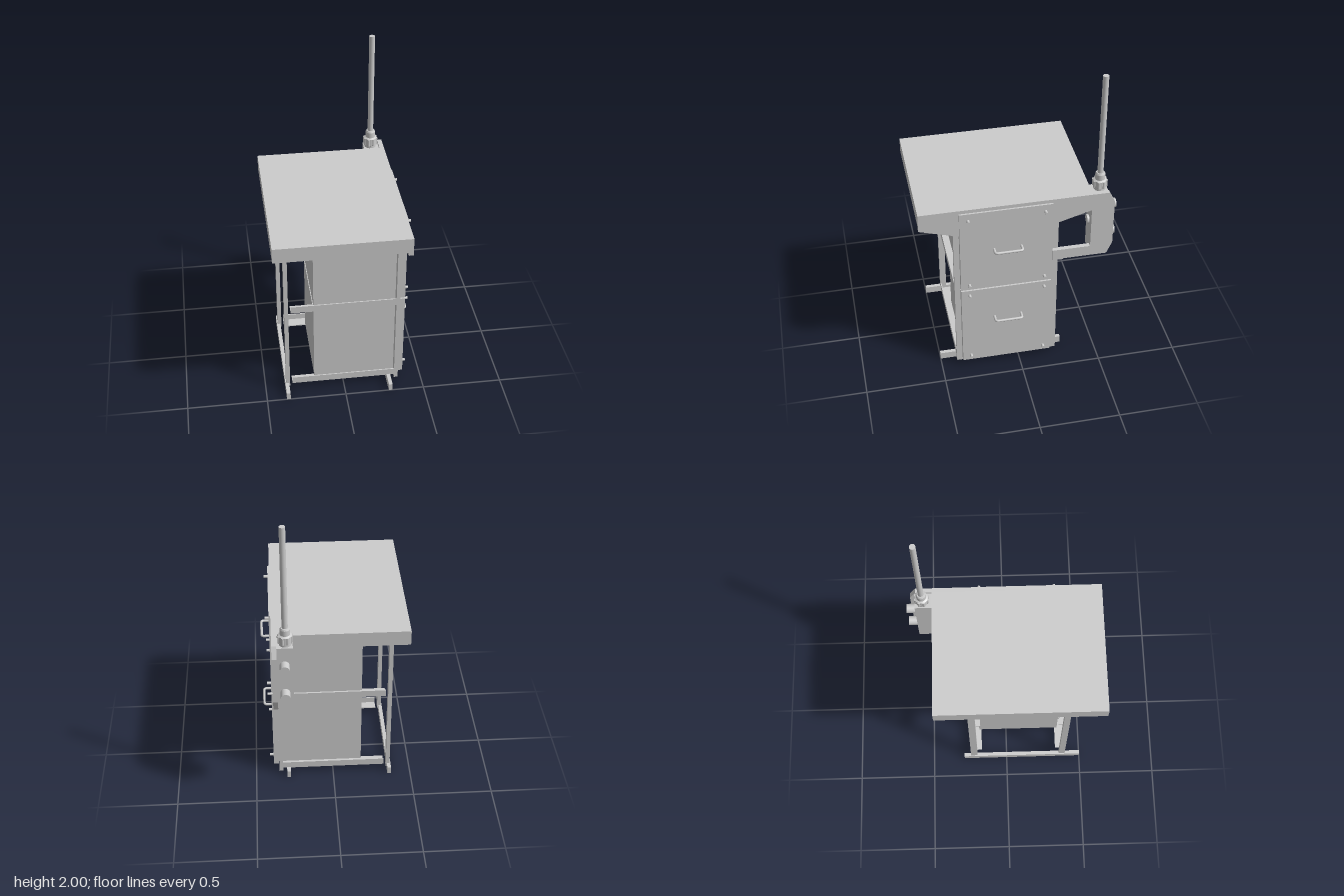
import * as THREE from 'three';

export function createModel() {
  const model = new THREE.Group();
  const mat = new THREE.MeshStandardMaterial({ color: 0xcccccc });

  const add = (name, geo, x = 0, y = 0, z = 0) => {
    const m = new THREE.Mesh(geo, mat);
    m.name = name;
    m.position.set(x, y, z);
    model.add(m);
    return m;
  };
  // box given by its limits on each axis
  const box = (name, x0, x1, y0, y1, z0, z1) =>
    add(name, new THREE.BoxGeometry(x1 - x0, y1 - y0, z1 - z0),
      (x0 + x1) / 2, (y0 + y1) / 2, (z0 + z1) / 2);
  const cylX = (name, r, x0, x1, y, z) =>
    add(name, new THREE.CylinderGeometry(r, r, x1 - x0, 20).rotateZ(Math.PI / 2), (x0 + x1) / 2, y, z);
  const cylZ = (name, r, z0, z1, x, y) =>
    add(name, new THREE.CylinderGeometry(r, r, z1 - z0, 28).rotateX(Math.PI / 2), x, y, (z0 + z1) / 2);

  // Worktop: an upside-down tray with thin rims
  box('worktop', -0.445, 0.346, 1.228, 1.24, -0.443, 0.605);
  box('worktopEndRim', -0.445, -0.433, 1.145, 1.23, -0.443, 0.605);
  box('worktopFrontRim', -0.434, 0.346, 1.145, 1.23, 0.593, 0.605);
  box('worktopBackRim', -0.434, 0.346, 1.145, 1.23, -0.443, -0.431);

  // Side plate with sloped brackets and the C-shaped arm, as [z, y]
  const outline = [
    [0.605, 1.24], [0.605, 1.125], [0.375, 1.055], [-0.205, 1.055], [-0.44, 1.125], [-0.44, 0.85],
    [-0.205, 0.85], [-0.205, 0.775], [-0.27, 0.775], [-0.275, 0.78], [-0.545, 0.78],
    [-0.58, 0.86], [-0.58, 1.17], [-0.545, 1.24],
  ];
  const plate = new THREE.Shape(outline.map(([z, y]) => new THREE.Vector2(-z, y)));
  add('sidePlate', new THREE.ExtrudeGeometry(plate, { depth: 0.029, bevelEnabled: false })
    .rotateY(Math.PI / 2), 0.345);

  // Frame: posts, feet and angle rails carrying the two cabinets
  for (const [z0, z1] of [[0.36, 0.4], [-0.245, -0.2]]) {
    box('outerPost', -0.37, -0.345, 0.025, 1.228, z0, z1);
    box('doorPost', 0.325, 0.35, 0.02, 1.22, z0, z1);
  }
  box('foot', -0.376, -0.352, 0.003, 0.05, -0.29, 0.5);
  box('foot', 0.276, 0.3, 0.003, 0.05, -0.29, 0.5);
  for (const y of [0.045, 0.61]) {
    box('frontRail', -0.33, 0.325, y, y + 0.045, 0.393, 0.4);
    box('frontRailLedge', -0.33, 0.325, y, y + 0.006, 0.335, 0.394);
    box('backRail', -0.33, 0.325, y, y + 0.045, -0.245, -0.238);
    box('backRailLedge', -0.33, 0.325, y, y + 0.006, -0.239, -0.17);
  }

  // Two cabinets, each with a door, corner bolts and a bent handle
  for (const [cabinetY, doorY, handleY, boltLow, boltHigh] of [
    [0.051, 0.045, 0.39, 0.085, 0.59],
    [0.616, 0.636, 0.935, 0.675, 1.17],
  ]) {
    box('cabinet', -0.185, 0.353, cabinetY, cabinetY + 0.533, -0.185, 0.352);
    box('door', 0.352, 0.385, doorY, doorY + 0.581, -0.2, 0.365);
    for (const y of [boltLow, boltHigh])
      for (const z of [-0.153, 0.313]) cylX('doorBolt', 0.009, 0.38, 0.41, y, z);

    const path = new THREE.CurvePath();
    const v = (x, z) => new THREE.Vector3(x, handleY, z);
    path.add(new THREE.LineCurve3(v(0.38, -0.009), v(0.417, -0.009)));
    path.add(new THREE.QuadraticBezierCurve3(v(0.417, -0.009), v(0.433, -0.009), v(0.433, 0.007)));
    path.add(new THREE.LineCurve3(v(0.433, 0.007), v(0.433, 0.143)));
    path.add(new THREE.QuadraticBezierCurve3(v(0.433, 0.143), v(0.433, 0.159), v(0.417, 0.159)));
    path.add(new THREE.LineCurve3(v(0.417, 0.159), v(0.38, 0.159)));
    add('doorHandle', new THREE.TubeGeometry(path, 80, 0.008, 12));
  }

  // Control box behind the arm, with push buttons
  box('controlBox', 0.25, 0.346, 0.79, 1.225, -0.548, -0.443);
  for (const y of [0.905, 1.105]) cylZ('rearButton', 0.029, -0.606, -0.54, 0.3, y);
  cylZ('frontButton', 0.029, -0.45, -0.43, 0.3, 1.005);

  // Signal mast: ribbed socket, collar and pole
  const mx = 0.293, mz = -0.503;
  const socket = [[0, 1.22], [0.036, 1.22], [0.036, 1.24], [0.041, 1.245], [0.041, 1.29], [0.03, 1.296],
    [0.03, 1.332], [0.025, 1.342], [0, 1.342]];
  for (let i = 0; i < socket.length - 1; i++) {
    const pair = [socket[i], socket[i + 1]].map(([r, y]) => new THREE.Vector2(r, y));
    add('mastSocket', new THREE.LatheGeometry(pair, 32), mx, 0, mz);
  }
  for (let i = 0; i < 8; i++) {
    const a = (i + 0.5) * Math.PI / 4;
    add('socketRib', new THREE.CylinderGeometry(0.009, 0.009, 0.046, 10),
      mx + 0.038 * Math.cos(a), 1.267, mz + 0.038 * Math.sin(a));
  }
  add('mastPole', new THREE.CylinderGeometry(0.018, 0.018, 0.67, 28), mx, 1.665, mz);

  return model;
}
